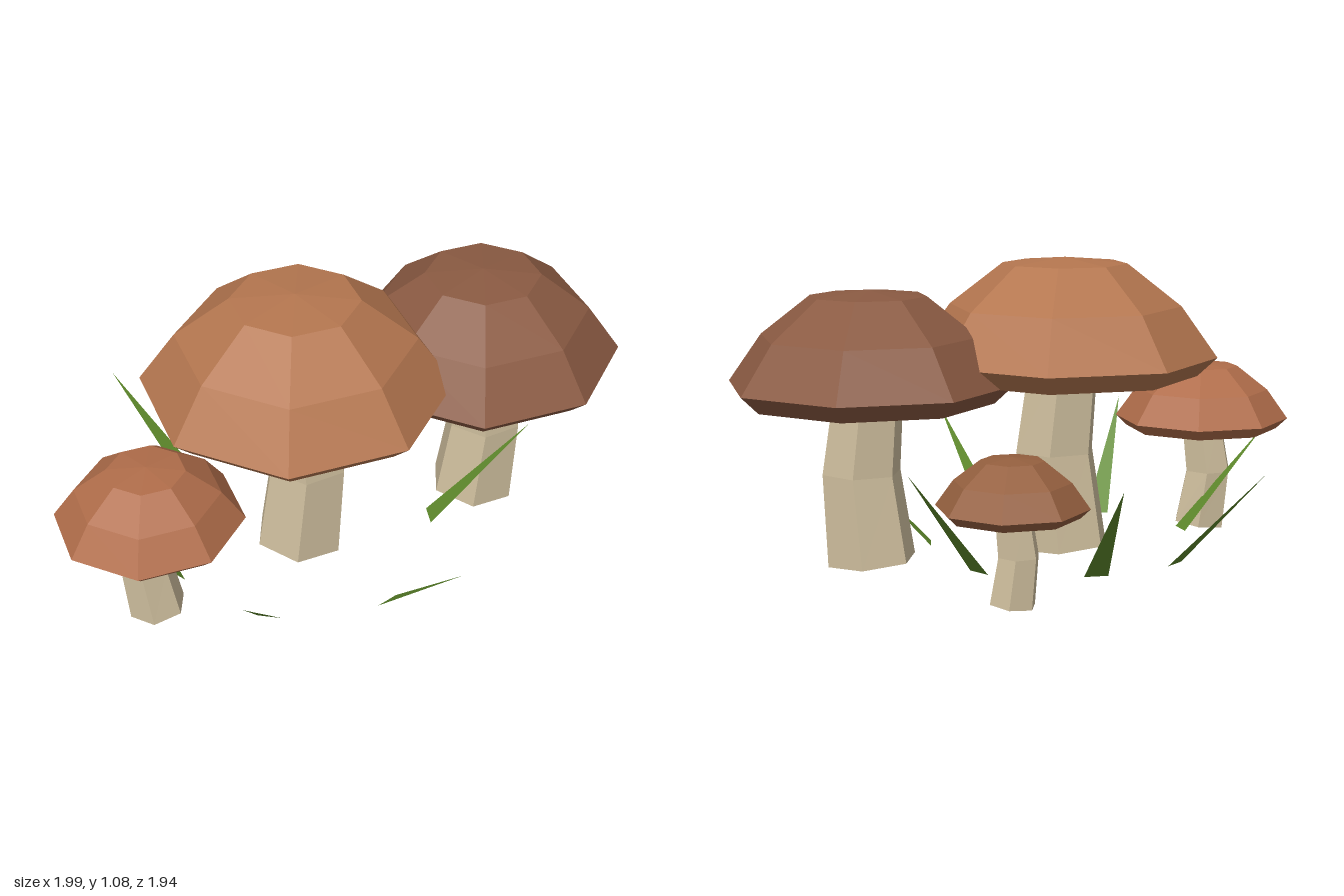
import * as THREE from 'three';

const mat = (color, side = THREE.DoubleSide) =>
  new THREE.MeshStandardMaterial({ color, flatShading: true, side });
const STEM = mat(0xcfbf9e, THREE.FrontSide);
const GRASS = mat(0x5f8a2c);
const CAP_LIGHT = mat(0xb4764f);
const CAP_DARK = mat(0x8a5a42);
const CAP_RED = mat(0xb06d4a);
const CAP_SMALL = mat(0x95603f);

// Cap profile (radius, height above the rim), from the underside hole to the apex
const CAP_PROFILE = [
  [0.165, -0.05], [0.485, -0.068], [0.557, 0], [0.425, 0.185], [0.228, 0.338], [0, 0.36],
].map(([r, y]) => new THREE.Vector2(r, y));

// Six-sided stem, bowed sideways at half height, with its ends tilted to follow the bow
function stemGeometry(rBottom, rTop, height, bow) {
  const geo = new THREE.CylinderGeometry(rTop, rBottom, height, 6, 2);
  geo.translate(0, height / 2, 0);
  const p = geo.attributes.position;
  for (let i = 0; i < p.count; i++) {
    const x = p.getX(i), t = p.getY(i) / height;
    const slope = (bow / (height / 2)) * Math.cos(Math.PI * t);
    p.setX(i, x + bow * Math.sin(Math.PI * t));
    p.setY(i, p.getY(i) - slope * x * 0.8);
  }
  return geo;
}

function mushroom({ name, x, z, rim, scale, rBottom, rTop, bow, material }) {
  const group = new THREE.Group();
  group.name = name;
  group.position.set(x, 0, z);

  const stem = new THREE.Mesh(stemGeometry(rBottom, rTop, rim - 0.01, bow), STEM);
  stem.name = 'stem';
  stem.position.y = 0.011;

  const cap = new THREE.Mesh(new THREE.LatheGeometry(CAP_PROFILE, 8), material);
  cap.name = 'cap';
  cap.scale.setScalar(scale);
  cap.position.y = rim;

  group.add(stem, cap);
  return group;
}

// Flat pointed blade leaning from its base to its tip
function grassBlade(base, tip) {
  const b = new THREE.Vector3(...base), t = new THREE.Vector3(...tip);
  const side = new THREE.Vector3(t.z - b.z, 0, b.x - t.x).setLength(0.043);
  const geo = new THREE.BufferGeometry().setFromPoints([b.clone().sub(side), b.clone().add(side), t]);
  geo.computeVertexNormals();
  const blade = new THREE.Mesh(geo, GRASS);
  blade.name = 'grassBlade';
  return blade;
}

export function createModel() {
  const model = new THREE.Group();
  model.name = 'mushroomCluster';

  model.add(
    mushroom({ name: 'tallMushroom', x: -0.175, z: 0.1, rim: 0.72, scale: 1, rBottom: 0.17, rTop: 0.136, bow: 0.036, material: CAP_LIGHT }),
    mushroom({ name: 'wideMushroom', x: 0.483, z: -0.23, rim: 0.654, scale: 0.92, rBottom: 0.163, rTop: 0.127, bow: 0.033, material: CAP_DARK }),
    mushroom({ name: 'frontMushroom', x: -0.667, z: 0.51, rim: 0.43, scale: 0.595, rBottom: 0.103, rTop: 0.082, bow: -0.03, material: CAP_RED }),
    mushroom({ name: 'backMushroom', x: -0.092, z: -0.72, rim: 0.338, scale: 0.458, rBottom: 0.08, rTop: 0.063, bow: -0.02, material: CAP_SMALL }),
  );

  // Grass ring around the cluster: base, tip
  const blades = [
    [[-0.26, 0.02, 0.57], [-0.315, 0.425, 0.965]],
    [[0.155, 0.02, 0.475], [0.405, 0.4, 0.755]],
    [[0.31, 0.02, 0], [0.67, 0.41, -0.07]],
    [[0.07, 0.02, -0.385], [0.267, 0.42, -0.66]],
    [[-0.338, 0.02, -0.38], [-0.455, 0.4, -0.735]],
    [[-0.6, 0.02, -0.18], [-0.915, 0.4, -0.37]],
    [[-0.6, 0.02, 0.345], [-0.91, 0.4, 0.5]],
  ];
  const grass = new THREE.Group();
  grass.name = 'grass';
  for (const [base, tip] of blades) grass.add(grassBlade(base, tip));
  model.add(grass);

  return model;
}
